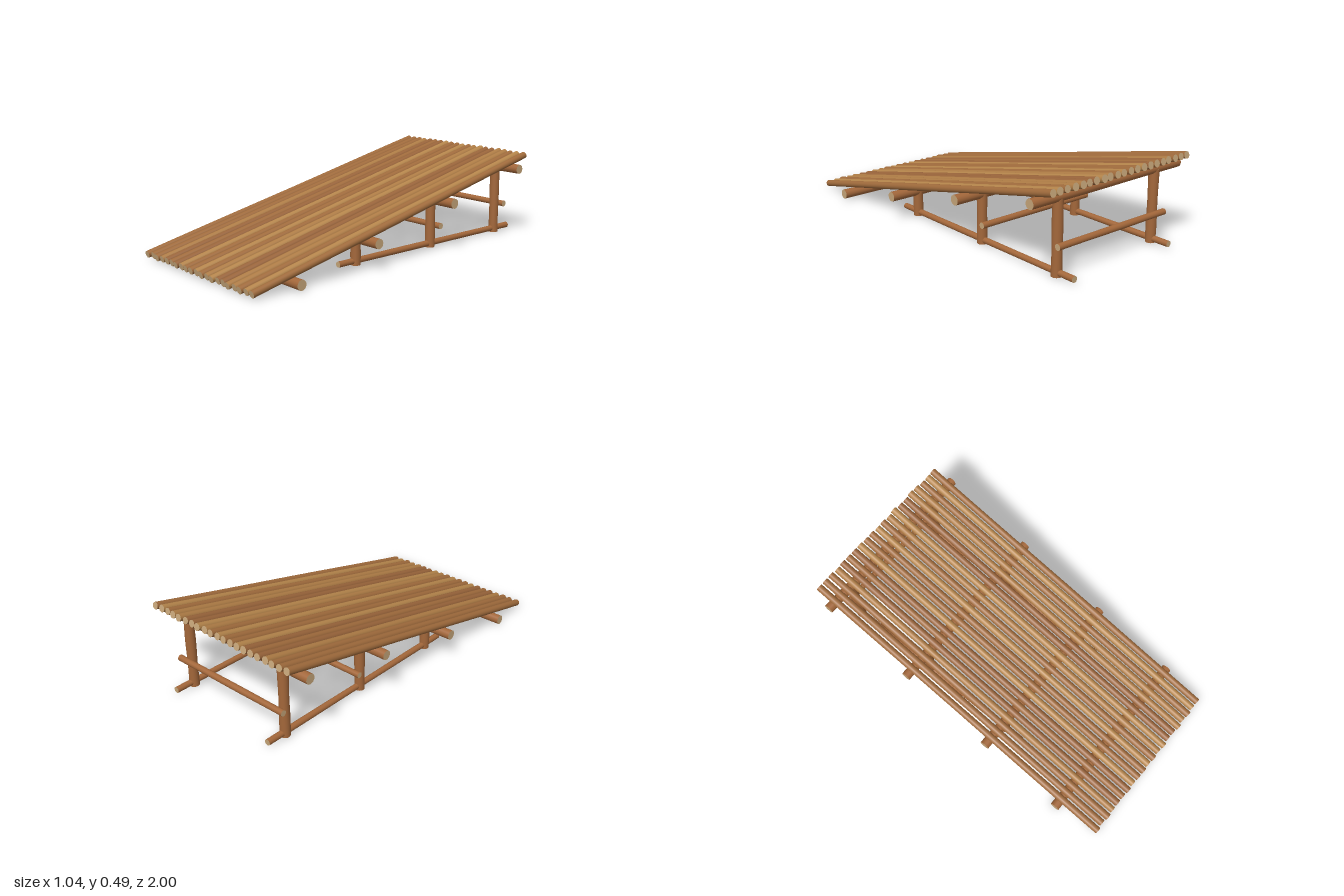
import * as THREE from 'three';

// Small seeded generator for natural variation
function seeded(seed) {
  let s = seed;
  return () => (s = (s * 16807) % 2147483647) / 2147483647;
}

export function createModel() {
  const group = new THREE.Group();
  group.name = 'logRamp';
  const rand = seeded(4711);
  const mat = (color) => new THREE.MeshStandardMaterial({ color });
  const cutWood = mat(0xc4a478);
  const frameWood = mat(0xa3673a);
  const deckWoods = [0xa8743f, 0x99643a, 0xb5854b, 0xa06b3c, 0xae7c45].map(mat);

  // A round log between two points, its girth swelling slightly along the length
  function log(name, from, to, radius, bark, wobble = 0.04) {
    const a = new THREE.Vector3(...from);
    const b = new THREE.Vector3(...to);
    const length = a.distanceTo(b);
    const geo = new THREE.CylinderGeometry(radius, radius, length, 16, 10);
    const pos = geo.attributes.position;
    const phase = rand() * Math.PI * 2;
    for (let i = 0; i < pos.count; i++) {
      const t = pos.getY(i) / length;
      const k = 1 + wobble * Math.sin(t * 9 + phase);
      pos.setX(i, pos.getX(i) * k);
      pos.setZ(i, pos.getZ(i) * k);
    }
    const mesh = new THREE.Mesh(geo, [bark, cutWood, cutWood]);
    mesh.name = name;
    mesh.position.copy(a).add(b).multiplyScalar(0.5);
    mesh.quaternion.setFromUnitVectors(new THREE.Vector3(0, 1, 0), b.sub(a).normalize());
    group.add(mesh);
  }

  // Sloping deck of side-by-side logs
  const count = 21;
  const slope = 0.2237;
  const deckY = (z) => 0.028 + (0.993 - z) * slope;
  for (let i = 0; i < count; i++) {
    const x = -0.47 + (0.94 * i) / (count - 1);
    const front = 0.993 - rand() * 0.01;
    const back = -0.986 + rand() * 0.01;
    const bark = deckWoods[Math.floor(rand() * deckWoods.length)];
    log('deckLog', [x, deckY(front), front], [x, deckY(back), back], 0.0195, bark);
  }

  // Cross beams carrying the deck, with posts under the three higher ones
  const beams = [[0.73, 0.034], [0.23, 0.148], [-0.33, 0.276], [-0.88, 0.402]];
  beams.forEach(([z, y], i) => {
    log('crossBeam', [-0.52, y, z], [0.52, y, z], 0.027, frameWood, 0.02);
    if (i === 0) return;
    for (const side of [-1, 1]) {
      log('post', [side * 0.34, 0.002, z], [side * 0.34, y, z], 0.027, frameWood);
    }
  });

  // Ground rails joining the feet of the posts
  for (const side of [-1, 1]) {
    log('groundRail', [side * 0.34, 0.024, 0.35], [side * 0.34, 0.024, -1], 0.0165, frameWood, 0.03);
  }

  // Thin horizontal braces behind the two tallest post pairs
  for (const [z, y] of [[-0.375, 0.119], [-0.924, 0.171]]) {
    log('brace', [-0.38, y, z], [0.38, y, z], 0.017, frameWood, 0.03);
  }

  return group;
}
